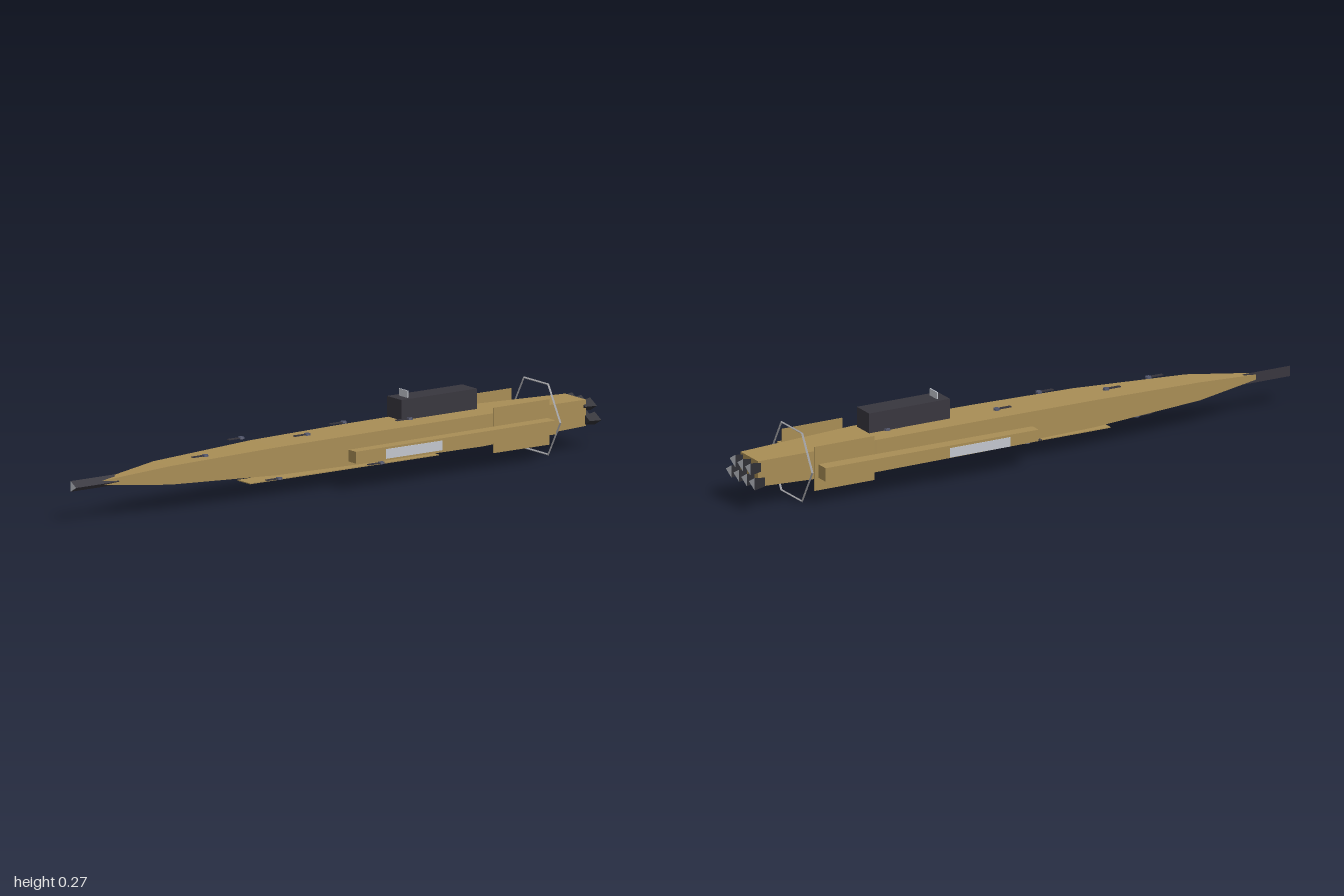
import * as THREE from 'three';

const flat = (name, color, side = THREE.FrontSide) => {
  const m = new THREE.MeshStandardMaterial({ color, side, flatShading: true });
  m.name = name;
  return m;
};

export function createModel() {
  const ship = new THREE.Group();
  ship.name = 'spaceship';
  const tan = flat('tan hull', 0xa88d55);
  const dark = flat('charcoal', 0x38363e);
  const engineDark = flat('engine black', 0x2f2f35);
  const light = flat('pale grey', 0xc2c6ce);
  const ringGrey = flat('ring grey', 0xa8a8ac);
  const gunGrey = flat('gun grey', 0x50546a);

  const add = (name, geo, mat, x = 0, y = 0, z = 0, parent = ship) => {
    const m = new THREE.Mesh(geo, mat);
    m.name = name;
    m.position.set(x, y, z);
    parent.add(m);
    return m;
  };
  const box = (w, h, d) => new THREE.BoxGeometry(w, h, d);
  // three-sided prism along z, one corner towards +x
  const prism = (rFront, rBack, length) =>
    new THREE.CylinderGeometry(rFront, rBack, length, 3).rotateX(Math.PI / 2).rotateZ(Math.PI / 2);

  // Hull: rectangular sections [z, half width, bottom, top], nose to tail
  const sections = [
    [0.9, 0.006, 0.111, 0.123], [0.65, 0.046, 0.088, 0.148], [0.25, 0.069, 0.072, 0.162],
    [-0.1, 0.076, 0.068, 0.166], [-0.55, 0.08, 0.066, 0.168], [-0.97, 0.056, 0.075, 0.16],
  ];
  const pos = [], idx = [];
  sections.forEach(([z, w, b, t]) => pos.push(-w, b, z, w, b, z, w, t, z, -w, t, z));
  for (let s = 0; s < sections.length - 1; s++) {
    for (let k = 0; k < 4; k++) {
      const a = s * 4 + k, b = s * 4 + (k + 1) % 4;
      idx.push(a, a + 4, b, b, a + 4, b + 4);
    }
  }
  const e = (sections.length - 1) * 4;
  idx.push(0, 1, 2, 0, 2, 3, e, e + 2, e + 1, e, e + 3, e + 2);
  const hull = new THREE.BufferGeometry();
  hull.setAttribute('position', new THREE.Float32BufferAttribute(pos, 3));
  hull.setIndex(idx);
  const hullFlat = hull.toNonIndexed();
  hullFlat.computeVertexNormals();
  add('hull', hullFlat, tan);

  // Nose gun with a pale muzzle
  add('noseBarrel', prism(0.02, 0.02, 0.17), [dark, light, dark], 0, 0.117, 0.915);

  // Engine nozzles: three above four
  [[3, 0.139], [4, 0.097]].forEach(([n, y]) => {
    for (let i = 0; i < n; i++) {
      add('engineNozzle', prism(0.017, 0.024, 0.04), [engineDark, engineDark, light],
        (i - (n - 1) / 2) * 0.0487, y, -0.98);
    }
  });

  // Hexagonal ring around the tail
  add('tailRing', new THREE.TorusGeometry(0.131, 0.0037, 4, 6), ringGrey, 0, 0.117, -0.815);

  // Side pods, radiator panels and fins
  for (const s of [1, -1]) {
    const pod = box(0.046, 0.045, 0.78);
    const p = pod.attributes.position;
    for (let i = 0; i < p.count; i++) {
      if (p.getZ(i) > 0) p.setXY(i, p.getX(i) * 0.85, p.getY(i) * 0.85);
    }
    pod.computeVertexNormals();
    add('sidePod', pod, tan, s * 0.131, 0.111, -0.39);
    add('podPanel', box(0.002, 0.031, 0.22), light, s * 0.161, 0.111, -0.22);
    add('sideFin', box(0.003, 0.147, 0.22), tan, s * 0.1025, 0.1185, -0.682);
  }

  // Dorsal module with its upright panel
  add('dorsalModule', box(0.078, 0.066, 0.295), dark, -0.001, 0.212, -0.408);
  add('sensorPanel', box(0.046, 0.023, 0.004), light, -0.001, 0.2565, -0.297);

  // Belly plate
  add('bellyPlate', box(0.067, 0.003, 0.74), tan, 0, 0.048, -0.04);

  // Twin-barrelled turrets, staggered left and right
  const turret = (x, y, z, up) => {
    const g = new THREE.Group();
    g.name = up ? 'topTurret' : 'bellyTurret';
    g.position.set(x, y, z);
    ship.add(g);
    add('turretBase', new THREE.CylinderGeometry(0.01, 0.011, 0.006, 8), gunGrey, 0, 0, 0, g);
    for (const s of [1, -1]) {
      add('turretBarrel', box(0.003, 0.003, 0.05), dark, s * 0.004, 0, 0.027, g);
    }
  };
  for (let i = 0; i < 6; i++) {
    turret(i % 2 ? -0.04 : 0.04, i ? 0.182 : 0.164, 0.51 - i * 0.2, true);
  }
  for (let i = 0; i < 5; i++) {
    turret(i % 2 ? 0.04 : -0.04, i ? 0.053 : 0.074, 0.42 - i * 0.2, false);
  }
  return ship;
}
